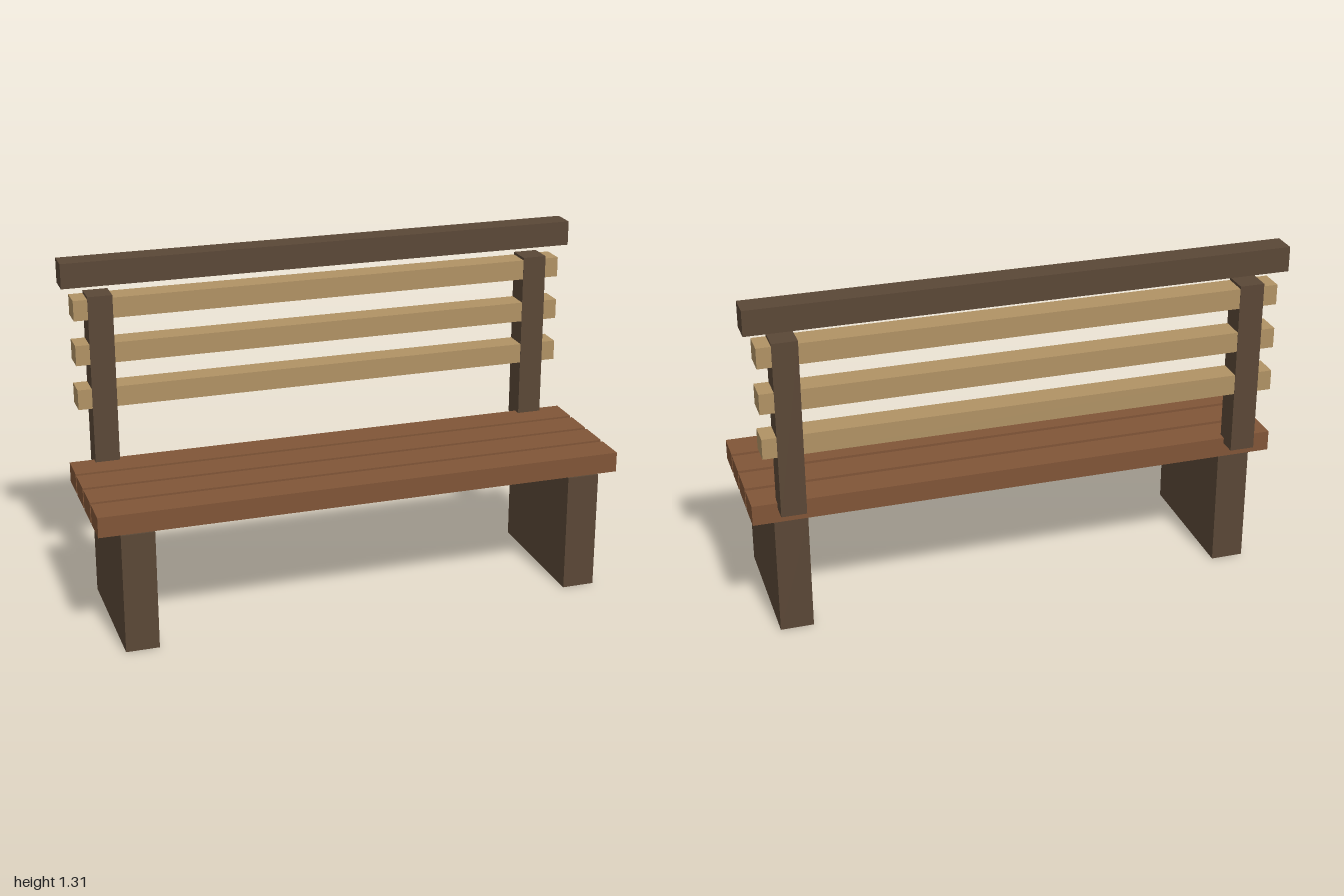
import * as THREE from 'three';

const darkWood = new THREE.MeshStandardMaterial({ color: 0x5a4736 });
const seatWood = new THREE.MeshStandardMaterial({ color: 0x805537 });
const paleWood = new THREE.MeshStandardMaterial({ color: 0xb09264 });

// Box given by its [min, max] extent on each axis
function beam(name, material, [x0, x1], [y0, y1], [z0, z1]) {
  const mesh = new THREE.Mesh(new THREE.BoxGeometry(x1 - x0, y1 - y0, z1 - z0), material);
  mesh.position.set((x0 + x1) / 2, (y0 + y1) / 2, (z0 + z1) / 2);
  mesh.name = name;
  return mesh;
}

export function createModel() {
  const bench = new THREE.Group();
  bench.name = 'bench';

  // Slab legs and back posts, mirrored left and right
  for (const [side, s] of [['left', 1], ['right', -1]]) {
    const span = (a, b) => (s > 0 ? [a, b] : [-b, -a]);
    bench.add(beam(`${side}Leg`, darkWood, span(0.798, 0.922), [0, 0.457], [-0.238, 0.31]));
    // Posts stand a hair proud of the back slats
    bench.add(beam(`${side}BackPost`, darkWood, span(0.814, 0.907), [0.512, 1.18], [-0.311, -0.215]));
  }

  // Four seat planks, front to back
  for (let i = 0; i < 4; i++) {
    const front = 0.302 - i * 0.141;
    bench.add(beam(`seatPlank${i + 1}`, seatWood, [-1, 1], [0.457, 0.534], [front - 0.124, front]));
  }

  // Three back slats
  for (let i = 0; i < 3; i++) {
    const y = 0.749 + i * 0.172;
    bench.add(beam(`backSlat${i + 1}`, paleWood, [-0.96, 0.96], [y, y + 0.077], [-0.31, -0.216]));
  }

  // Top rail floating just above the posts
  bench.add(beam('topRail', darkWood, [-1, 1], [1.218, 1.312], [-0.31, -0.216]));

  return bench;
}
